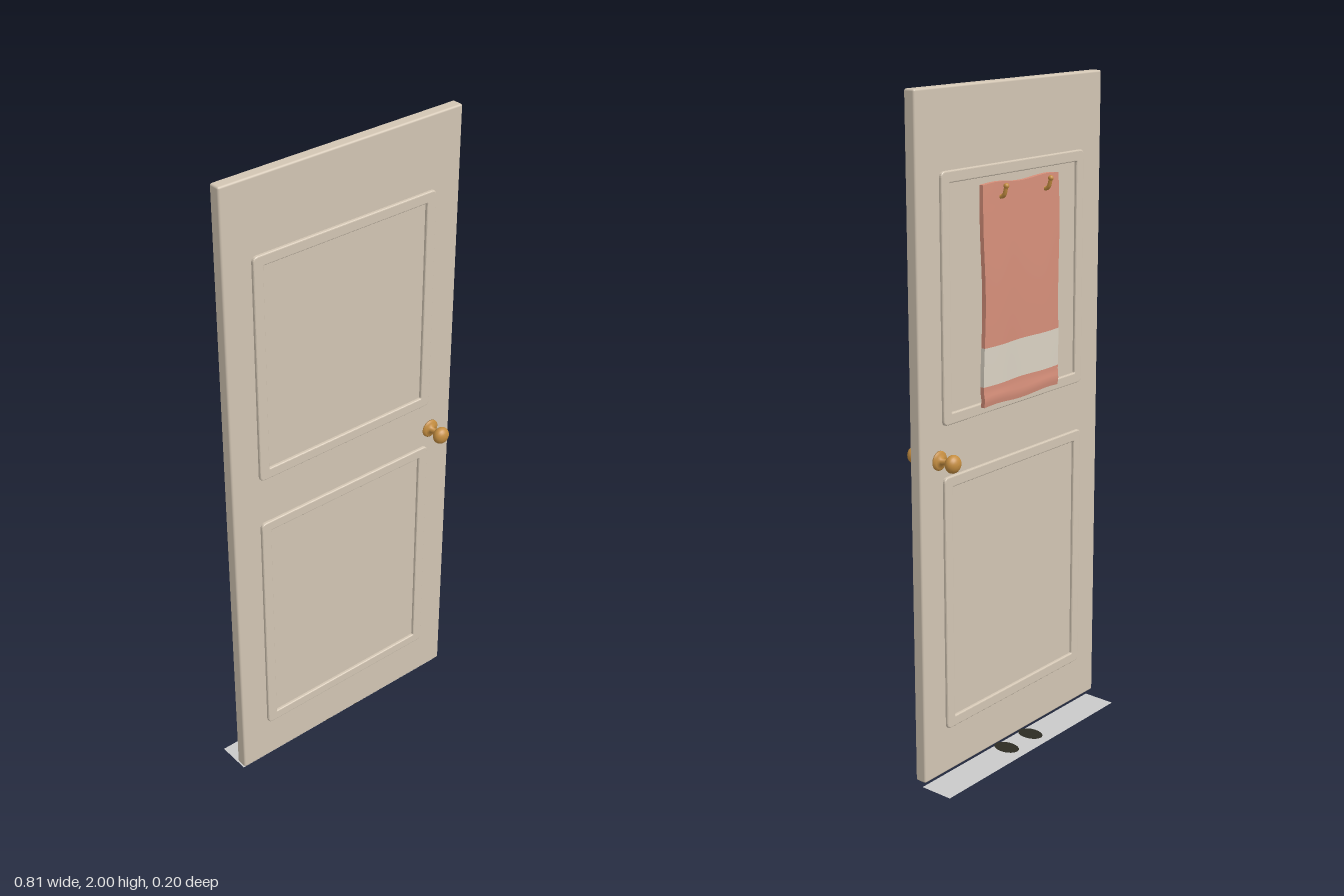
import * as THREE from 'three';
import { RoundedBoxGeometry } from 'three/addons/geometries/RoundedBoxGeometry.js';

const material = (name, color, side = THREE.FrontSide) => {
  const m = new THREE.MeshStandardMaterial({ color, side });
  m.name = name;
  return m;
};

function roundedRect(shape, x0, y0, x1, y1, r) {
  shape.moveTo(x0 + r, y0);
  shape.lineTo(x1 - r, y0);
  shape.quadraticCurveTo(x1, y0, x1, y0 + r);
  shape.lineTo(x1, y1 - r);
  shape.quadraticCurveTo(x1, y1, x1 - r, y1);
  shape.lineTo(x0 + r, y1);
  shape.quadraticCurveTo(x0, y1, x0, y1 - r);
  shape.lineTo(x0, y0 + r);
  shape.quadraticCurveTo(x0, y0, x0 + r, y0);
  return shape;
}

export function createModel() {
  const group = new THREE.Group();
  const paint = material('door paint', 0xd2c5b3);
  const brass = material('brass', 0xc48d40);
  const cloth = material('towel cloth', 0xd68f7a);
  const cream = material('towel band', 0xdbd3c4);
  const grey = material('floor strip', 0xcacaca, THREE.DoubleSide);
  const dark = material('dark', 0x2c2b23, THREE.DoubleSide);

  const add = (name, geometry, mat, parent = group) => {
    const mesh = new THREE.Mesh(geometry, mat);
    mesh.name = name;
    parent.add(mesh);
    return mesh;
  };

  // Door slab
  const midZ = 0.005, half = 0.0185;
  add('doorSlab', new RoundedBoxGeometry(0.81, 1.98, half * 2, 3, 0.006), paint).position.set(0, 1.01, midZ);

  // Raised moulding frames, two on each face
  const bevel = 0.004;
  const moulding = (y0, y1) => {
    const o = 0.313 - bevel, w = 0.033 - 2 * bevel;
    const shape = roundedRect(new THREE.Shape(), -o, y0 + bevel, o, y1 - bevel, 0.012);
    shape.holes.push(roundedRect(new THREE.Path(), -o + w, y0 + bevel + w, o - w, y1 - bevel - w, 0.008));
    return new THREE.ExtrudeGeometry(shape, {
      depth: 0.006, bevelThickness: bevel, bevelSize: bevel, bevelSegments: 3, curveSegments: 5,
    });
  };
  for (const [name, y0, y1] of [['upper', 1.08, 1.78], ['lower', 0.16, 0.93]]) {
    const geometry = moulding(y0, y1);
    add(name + 'FrontMoulding', geometry, paint).position.z = midZ + half - 0.001;
    const back = add(name + 'BackMoulding', geometry, paint);
    back.rotation.y = Math.PI;
    back.position.z = midZ - half + 0.001;
  }

  // Door knobs: rosette, neck and flattened ball turned in one profile
  const profile = [[0, 0], [0.028, 0], [0.028, 0.004], [0.022, 0.009], [0.009, 0.011], [0.008, 0.031]]
    .map(([r, h]) => new THREE.Vector2(r, h));
  for (let i = 2; i <= 12; i++) {
    const a = (i / 12) * Math.PI;
    profile.push(new THREE.Vector2(i === 12 ? 0 : 0.0265 * Math.sin(a), 0.051 - 0.0205 * Math.cos(a)));
  }
  const knobGeometry = new THREE.LatheGeometry(profile, 32);
  for (const side of [1, -1]) {
    const knob = add(side > 0 ? 'frontKnob' : 'backKnob', knobGeometry, brass);
    knob.rotation.x = side * Math.PI / 2;
    knob.position.set(0.327, 0.985, midZ + side * half);
  }

  // Towel: a soft slab with gentle vertical folds, in three coloured strips
  const towel = new THREE.Group();
  towel.name = 'towel';
  group.add(towel);
  const top = 1.73, bottom = 1.105;
  const strip = (name, y0, y1, mat) => {
    const rows = Math.max(6, Math.round((y1 - y0) / 0.015));
    const g = new THREE.BoxGeometry(0.332, y1 - y0, 0.013, 32, rows, 2);
    g.translate(0, (y0 + y1) / 2, 0);
    const p = g.attributes.position;
    for (let i = 0; i < p.count; i++) {
      const x = p.getX(i), y = p.getY(i);
      const t = (top - y) / (top - bottom);
      const fold = 0.0035 * Math.cos(x * 30) * (0.7 + 0.3 * t);
      const sag = -0.004 * Math.exp(-(((y - 1.125) / 0.018) ** 2)) - 0.005 * Math.sin(t * Math.PI);
      p.setX(i, x + 0.003 * Math.sin(t * 9) * (x / 0.166));
      p.setY(i, y + 0.004 * Math.cos(x * 28) * (t > 0.95 ? -1 : t < 0.05 ? -1 : 0));
      p.setZ(i, p.getZ(i) - 0.036 + fold + sag);
    }
    g.computeVertexNormals();
    add(name, g, mat, towel);
  };
  strip('towelBody', 1.277, top, cloth);
  strip('towelBand', 1.165, 1.277, cream);
  strip('towelHem', bottom, 1.165, cloth);

  // Hooks holding the towel
  const path = new THREE.CatmullRomCurve3([[1.725, -0.014], [1.708, -0.03], [1.692, -0.046], [1.698, -0.058], [1.722, -0.066]]
    .map(([y, z]) => new THREE.Vector3(0, y, z)));
  const hookGeometry = new THREE.TubeGeometry(path, 20, 0.006, 10);
  for (const x of [-0.1, 0.097]) {
    const hook = new THREE.Group();
    hook.name = 'towelHook';
    hook.position.x = x;
    group.add(hook);
    add('hookArm', hookGeometry, brass, hook);
    add('hookTip', new THREE.SphereGeometry(0.008, 14, 10), brass, hook).position.set(0, 1.723, -0.066);
  }

  // Flat strip on the floor under the door, with two dark ovals
  const floor = add('floorStrip', new THREE.PlaneGeometry(0.794, 0.105), grey);
  floor.rotation.x = -Math.PI / 2;
  floor.position.set(0, 0, -0.0475);
  for (const x of [-0.058, 0.058]) {
    const oval = add('darkOval', new THREE.CircleGeometry(1, 28), dark);
    oval.scale.set(0.03, 0.042, 1);
    oval.rotation.x = -Math.PI / 2;
    oval.position.set(x, 0.003, -0.033);
  }
  return group;
}
